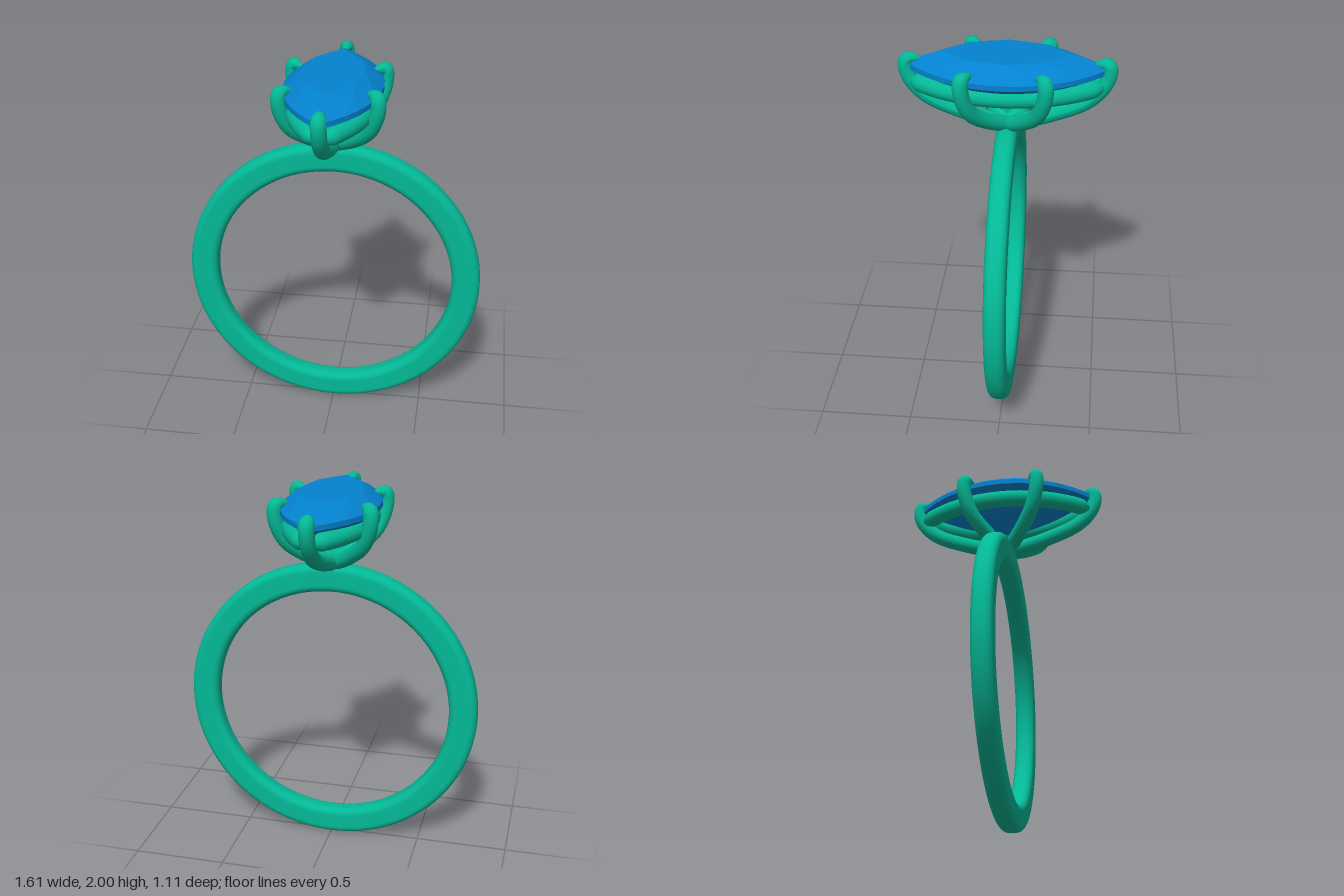
import * as THREE from 'three';
import { ConvexGeometry } from 'three/addons/geometries/ConvexGeometry.js';

const metal = new THREE.MeshStandardMaterial({ color: 0x04b896 });
const blue = new THREE.MeshStandardMaterial({ color: 0x0482d0, flatShading: true });
const V = (x, y, z) => new THREE.Vector3(x, y, z);

// Tube whose radius follows a rule radius(t), t from 0 to 1
function taperedTube(curve, radius, steps = 48, sides = 16) {
  const geo = new THREE.TubeGeometry(curve, steps, 1, sides);
  const pos = geo.attributes.position;
  const p = new THREE.Vector3();
  for (let i = 0; i <= steps; i++) {
    const centre = curve.getPointAt(i / steps);
    const r = radius(i / steps);
    for (let j = 0; j <= sides; j++) {
      const k = i * (sides + 1) + j;
      p.fromBufferAttribute(pos, k).sub(centre).multiplyScalar(r).add(centre);
      pos.setXYZ(k, p.x, p.y, p.z);
    }
  }
  geo.computeVertexNormals();
  return geo;
}

// One arc of a pointed oval, from the -z tip to the +z tip
function ovalArc(halfWidth, halfLength, y, count, side) {
  const R = (halfWidth ** 2 + halfLength ** 2) / (2 * halfWidth);
  const end = Math.asin(halfLength / R);
  return Array.from({ length: count + 1 }, (_, i) => {
    const a = end * (2 * i / count - 1);
    return V(side * (R * Math.cos(a) - R + halfWidth), y, R * Math.sin(a));
  });
}
const ovalPoints = (w, l, y, n) => [...ovalArc(w, l, y, n, 1), ...ovalArc(w, l, y, n, -1)];

function add(parent, name, geometry, material) {
  const mesh = new THREE.Mesh(geometry, material);
  mesh.name = name;
  parent.add(mesh);
  return mesh;
}

export function createModel() {
  const ring = new THREE.Group();
  ring.name = 'ring';

  // Band: rounded section swept round the finger axis
  const inner = 0.65, outer = 0.803, half = 0.054, c = 0.04;
  const section = [];
  const corners = [[outer - c, half - c, 0], [inner + c, half - c, 1],
    [inner + c, c - half, 2], [outer - c, c - half, 3]];
  for (const [r, z, quarter] of corners) {
    for (let i = 0; i <= 6; i++) {
      const a = (quarter + i / 6) * Math.PI / 2;
      section.push(new THREE.Vector2(r + c * Math.cos(a), z + c * Math.sin(a)));
    }
  }
  section.push(section[0].clone());
  const band = add(ring, 'band', new THREE.LatheGeometry(section, 128), metal);
  band.rotation.x = Math.PI / 2;
  band.position.y = 0.803;

  // Stone: table, crown, girdle and pavilion
  const stone = new ConvexGeometry([
    ...ovalPoints(0.16, 0.33, 2.0, 4),
    ...ovalPoints(0.212, 0.43, 1.966, 5),
    ...ovalPoints(0.253, 0.51, 1.93, 14),
    ...ovalPoints(0.253, 0.51, 1.903, 14),
    ...ovalPoints(0.13, 0.25, 1.802, 6),
    V(0, 1.72, 0),
  ]);
  add(ring, 'stone', stone, blue);

  // Gallery rail under the stone
  const rail = new THREE.Group();
  rail.name = 'galleryRail';
  for (const side of [-1, 1]) {
    const curve = new THREE.CatmullRomCurve3(ovalArc(0.195, 0.49, 1.838, 12, side));
    const round = t => 0.046 * Math.sqrt(Math.min(1, Math.min(t, 1 - t) / 0.07));
    add(rail, 'railSide', taperedTube(curve, round, 60), metal);
  }
  ring.add(rail);

  // Claws: fractions of reach against height, hooked over the girdle
  const claws = new THREE.Group();
  claws.name = 'claws';
  for (const [x, z] of [[0, 0.513], [0, -0.513], [0.246, 0.207], [0.246, -0.207],
    [-0.246, 0.207], [-0.246, -0.207]]) {
    const reach = Math.hypot(x, z);
    const at = (f, y, inset = 0) => V(x * (f - inset / reach), y, z * (f - inset / reach));
    const curve = new THREE.CatmullRomCurve3([
      at(0, 1.605), at(0.45, 1.672), at(0.8, 1.752), at(0.955, 1.838),
      at(1, 1.91), at(1, 1.945, 0.008), at(1, 1.954, 0.035), at(1, 1.948, 0.09),
    ]);
    const tipStart = 1 - 0.085 / curve.getLength();
    const radius = t => (0.042 - 0.003 * t) * Math.min(1, ((1 - t) / (1 - tipStart)) ** 0.8);
    add(claws, 'claw', taperedTube(curve, radius, 64), metal);
  }
  ring.add(claws);

  // Small collar joining the claws to the band
  const collar = add(ring, 'collar', new THREE.SphereGeometry(0.045, 24, 16), metal);
  collar.position.y = 1.605;
  return ring;
}
